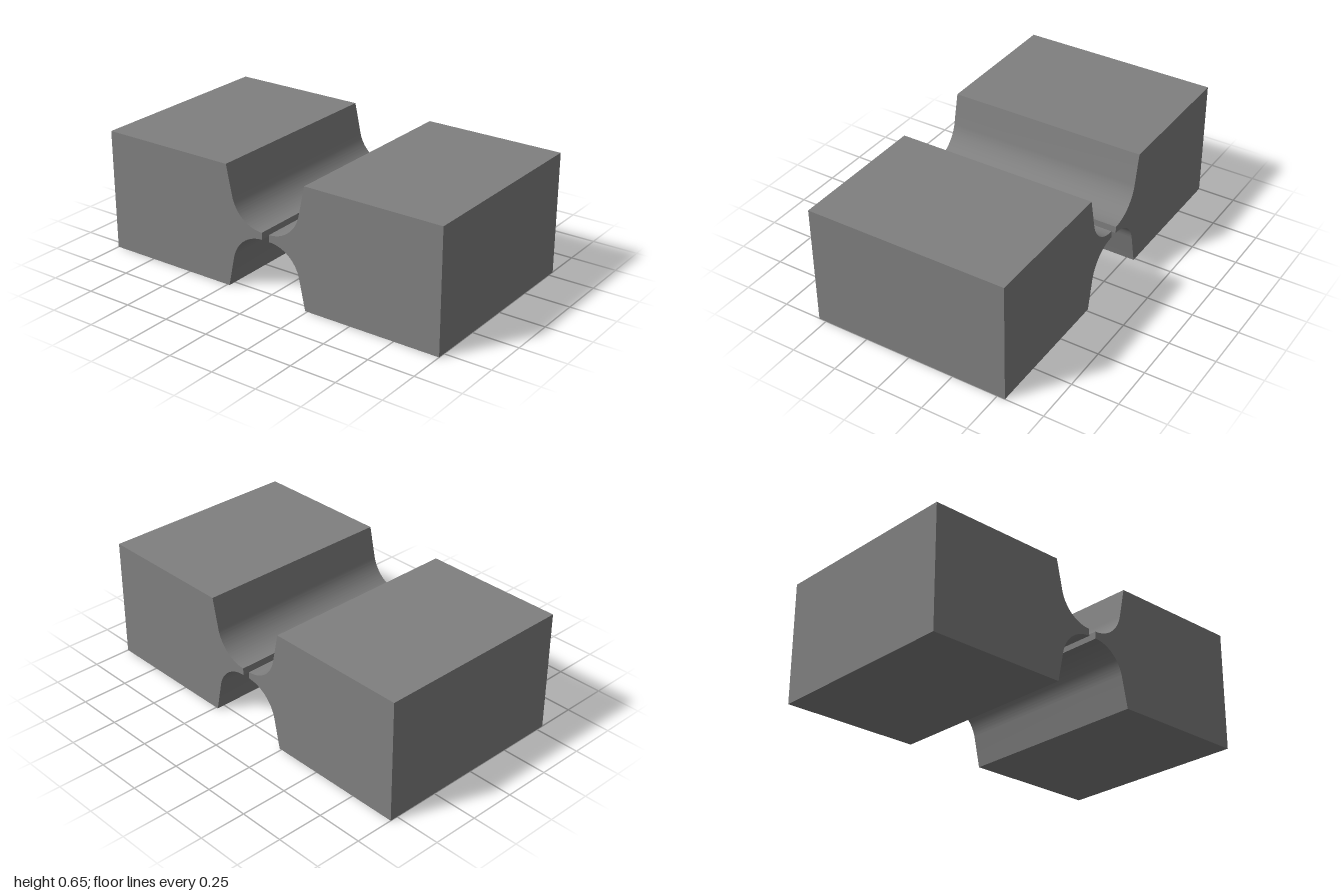
import * as THREE from 'three';
import { toCreasedNormals } from 'three/addons/utils/BufferGeometryUtils.js';

const H = 0.654, DEPTH = 1.084, MID = H / 2;
const TIP_X = 0.022, TIP_HALF = 0.019; // thin lip facing the central gap
const WALL_X = 0.237, TILT = THREE.MathUtils.degToRad(12);

// Block outline: sloped walls blend through tangent arcs into the thin lip
function blockShape() {
  const c = Math.cos(TILT), s = Math.sin(TILT);
  const r = ((WALL_X - TIP_X) * c - (MID - TIP_HALF) * s) / (1 - s);
  const rise = TIP_HALF + r;
  const shape = new THREE.Shape();
  shape.moveTo(1, 0);
  shape.lineTo(1, H);
  shape.lineTo(WALL_X, H);
  shape.absarc(TIP_X, MID + rise, r, -TILT, -Math.PI / 2, true);
  shape.lineTo(TIP_X, MID - TIP_HALF);
  shape.absarc(TIP_X, MID - rise, r, Math.PI / 2, TILT, true);
  shape.lineTo(WALL_X, 0);
  shape.closePath();
  return shape;
}

export function createModel() {
  const model = new THREE.Group();
  model.name = 'splitBlockPair';
  const grey = new THREE.MeshStandardMaterial({ color: 0x808080 });
  grey.name = 'grey';

  const extruded = new THREE.ExtrudeGeometry(blockShape(), {
    depth: DEPTH, bevelEnabled: false, curveSegments: 20,
  });
  extruded.translate(0, 0, -DEPTH / 2);
  const geometry = toCreasedNormals(extruded, 0.5);

  // Two identical blocks facing each other across the gap
  ['leftBlock', 'rightBlock'].forEach((name, i) => {
    const block = new THREE.Mesh(geometry, grey);
    block.name = name;
    block.rotation.y = i * Math.PI;
    model.add(block);
  });
  return model;
}
